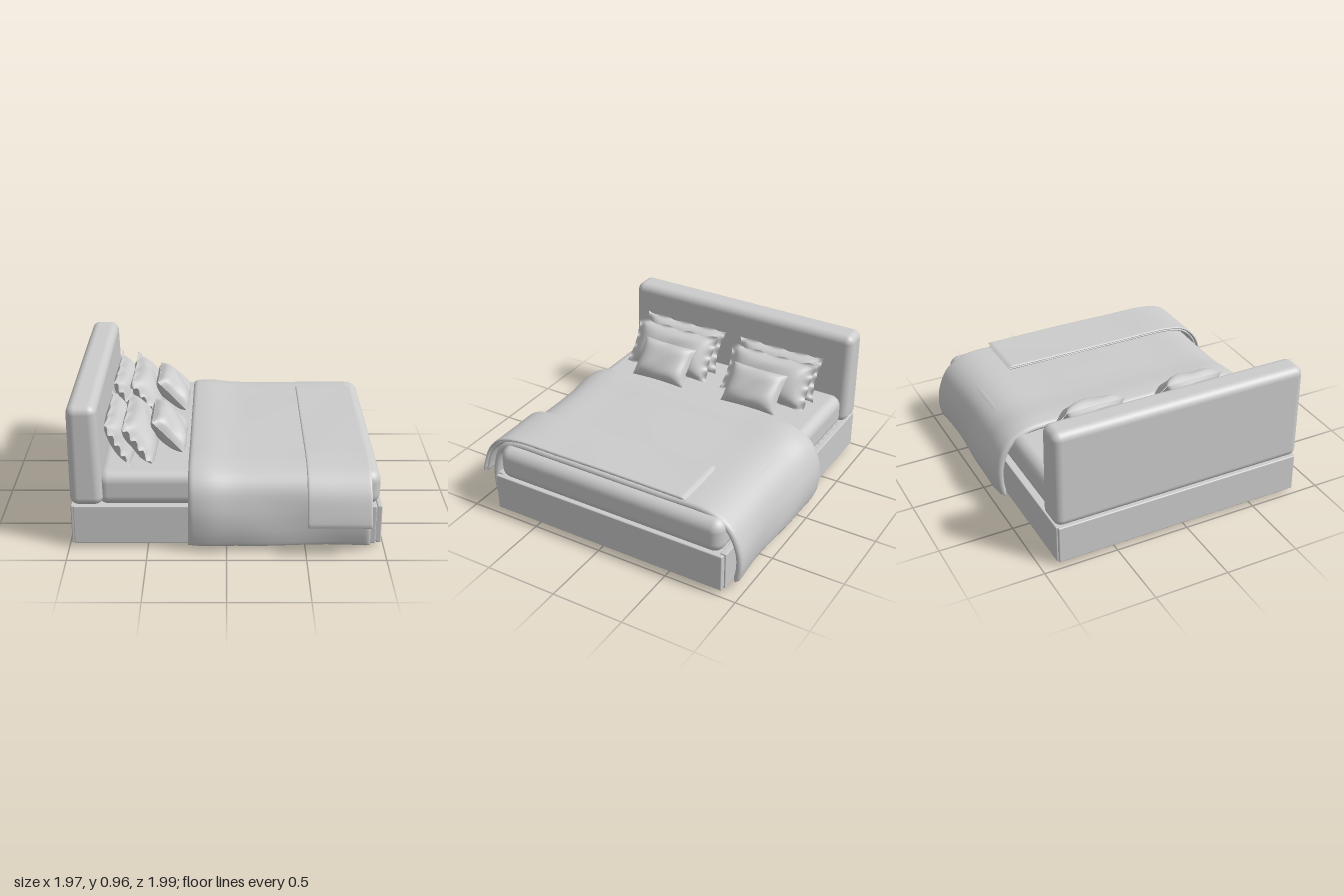
import * as THREE from 'three';
import { RoundedBoxGeometry } from 'three/addons/geometries/RoundedBoxGeometry.js';
import { mergeGeometries } from 'three/addons/utils/BufferGeometryUtils.js';

const mat = new THREE.MeshStandardMaterial({ color: 0xcccccc });
const MID_Z = -0.035; // the bed frame sits slightly behind centre

function add(parent, name, geometry, x = 0, y = 0, z = 0) {
  const mesh = new THREE.Mesh(geometry, mat);
  mesh.name = name;
  mesh.position.set(x, y, z);
  parent.add(mesh);
  return mesh;
}

// Rounded box given by its min and max corners
function block(parent, name, [x0, y0, z0], [x1, y1, z1], r) {
  const geo = new RoundedBoxGeometry(x1 - x0, y1 - y0, z1 - z0, 5, r);
  return add(parent, name, geo, (x0 + x1) / 2, (y0 + y1) / 2, (z0 + z1) / 2);
}

// Soft edge: 0 at a border, 1 once d passes e
const soft = (d, e) => Math.sqrt(Math.max(0, 1 - (1 - Math.min(1, d / e)) ** 2));

// Thick cloth: a [z, y] path from left to right, swept along x with rounded hems
function cloth(path, x0, x1, thick, nx, ns, lift, shiftX = () => 0) {
  const curve = new THREE.CatmullRomCurve3(path.map(([z, y]) => new THREE.Vector3(0, y, z)), false, 'centripetal');
  const samples = [];
  for (let j = 0; j <= ns; j++) {
    const s = (1 - Math.cos(Math.PI * j / ns)) / 2 * 0.5 + 0.5 * j / ns;
    samples.push({ s, p: curve.getPointAt(s), t: curve.getTangentAt(s) });
  }
  const length = curve.getLength();
  const pos = [], index = [], ring = 2 * (ns + 1);
  for (let i = 0; i <= nx; i++) {
    const u = (1 - Math.cos(Math.PI * i / nx)) / 2;
    const x = x0 + (x1 - x0) * u;
    const edgeU = soft(Math.min(x - x0, x1 - x), thick * 0.6);
    for (let k = 0; k < ring; k++) {
      const top = k <= ns;
      const { s, p, t } = samples[top ? k : ring - 1 - k];
      const edgeS = soft(Math.min(s, 1 - s) * length, thick * 0.6);
      const off = lift(x, s, p) + (top ? 0.5 : -0.5) * thick * edgeU * edgeS;
      pos.push(x + shiftX(u, p), p.y - t.z * off, p.z + t.y * off);
    }
  }
  for (let i = 0; i < nx; i++) {
    for (let j = 0; j < ring; j++) {
      const k = (j + 1) % ring;
      const a = i * ring + j, b = i * ring + k, c = a + ring, d = b + ring;
      index.push(a, c, b, b, c, d);
    }
  }
  const geo = new THREE.BufferGeometry();
  geo.setAttribute('position', new THREE.Float32BufferAttribute(pos, 3));
  geo.setIndex(index);
  geo.computeVertexNormals();
  return geo;
}

// Stuffed pillow facing +x and leaning back; inner < 1 leaves a ruffled flange
function pillow(w, h, t, inner, pinch, lean, seed) {
  const halves = [1, -1].map((side) => {
    const geo = new THREE.PlaneGeometry(2, 2, 32, 32);
    if (side < 0) geo.rotateY(Math.PI);
    const p = geo.attributes.position;
    for (let i = 0; i < p.count; i++) {
      const u = p.getX(i), v = p.getY(i);
      const a = Math.min(1, Math.abs(u) / inner), b = Math.min(1, Math.abs(v) / inner);
      const puff = ((1 - a ** 4) * (1 - b ** 4)) ** 0.6;
      const rim = inner < 1 ? Math.max(0, (Math.max(Math.abs(u), Math.abs(v)) - inner) / (1 - inner)) : 0;
      const ruffle = rim * 0.012 * Math.sin(11 * u + 13 * v + seed);
      const crease = puff * 0.006 * Math.sin(5 * u - 4 * v + seed);
      p.setXYZ(i,
        w / 2 * u * (1 - pinch * (1 - v * v)) + ruffle * 0.6,
        h / 2 * v * (1 - pinch * (1 - u * u)) + ruffle * 0.6,
        side * (0.002 + t / 2 * puff) + crease + ruffle);
    }
    geo.computeVertexNormals();
    return geo;
  });
  return mergeGeometries(halves).rotateY(Math.PI / 2).rotateZ(lean);
}

export function createModel() {
  const bed = new THREE.Group();
  bed.name = 'bed';

  // Frame: recessed core, four panels and feet
  const frame = new THREE.Group();
  frame.name = 'frame';
  bed.add(frame);
  block(frame, 'frameCore', [-0.97, 0.042, -0.89], [0.96, 0.28, 0.82], 0.005);
  block(frame, 'leftRail', [-0.965, 0.03, 0.79], [0.945, 0.29, 0.83], 0.006);
  block(frame, 'rightRail', [-0.965, 0.03, -0.9], [0.945, 0.29, -0.86], 0.006);
  block(frame, 'headPanel', [-0.982, 0.03, -0.89], [-0.94, 0.29, 0.82], 0.008);
  block(frame, 'footPanel', [0.95, 0.03, -0.89], [0.982, 0.29, 0.82], 0.008);
  for (const x of [-0.89, 0.88]) {
    for (const z of [-0.76, 0.76]) {
      add(frame, 'foot', new THREE.CylinderGeometry(0.025, 0.025, 0.045, 20), x, 0.0225, MID_Z + z);
    }
  }

  // Headboard, its padded front leaning back a little at the top
  const headboard = block(bed, 'headboard', [-0.985, 0.29, -0.907], [-0.775, 0.96, 0.835], 0.055);
  const hp = headboard.geometry.attributes.position;
  for (let i = 0; i < hp.count; i++) {
    if (hp.getX(i) > 0) hp.setX(i, hp.getX(i) - 0.022 * (hp.getY(i) + 0.335) / 0.67);
  }

  block(bed, 'mattress', [-0.82, 0.27, -0.87], [0.972, 0.505, 0.8], 0.075);

  // Duvet, hanging down both sides
  const folds = (x, p) => 0.010 * Math.sin(7 * x + 5 * p.y) * THREE.MathUtils.smoothstep(0.5 - p.y, 0, 0.35);
  const duvetPath = [[0.862, 0.035], [0.88, 0.15], [0.875, 0.3], [0.835, 0.43], [0.74, 0.497], [0.4, 0.511],
    [-0.4, 0.511], [-0.76, 0.5], [-0.88, 0.43], [-0.94, 0.3], [-0.953, 0.17], [-0.94, 0.068]];
  const duvetLift = (x, s, p) => 0.016 * Math.exp(-(((x + 0.13) / 0.13) ** 2))
    + folds(x, p) + 0.002 * Math.sin(6 * x + 4 * p.z);
  add(bed, 'duvet', cloth(duvetPath, -0.24, 0.9, 0.046, 40, 90, duvetLift,
    (u, p) => (u - 0.3) * 0.02 * (0.5 - p.y)));

  // Folded throw across the foot, two layers falling over the left side
  const throwPath = [[0.978, 0.215], [0.957, 0.3], [0.91, 0.42], [0.825, 0.505], [0.7, 0.54], [0.3, 0.547], [-0.575, 0.547]];
  for (const [name, x0, x1, level] of [['throwLower', 0.51, 0.885, -0.007], ['throwUpper', 0.5, 0.9, 0.011]]) {
    add(bed, name, cloth(throwPath, x0, x1, 0.016, 24, 60,
      (x, s, p) => level + 0.5 * folds(x, p) + 0.0015 * Math.sin(9 * x + 5 * p.z),
      (u, p) => 0.012 * (0.5 - p.y)));
  }

  // Two matching stacks of pillows
  [[0.375, 0.335], [-0.4, -0.385]].forEach(([zPillow, zCushion], i) => {
    const stack = new THREE.Group();
    stack.name = i ? 'rightPillows' : 'leftPillows';
    bed.add(stack);
    add(stack, 'backPillow', pillow(0.66, 0.33, 0.14, 0.9, 0.07, 0.5, 1 + i), -0.685, 0.635, zPillow);
    add(stack, 'frontPillow', pillow(0.67, 0.34, 0.17, 0.9, 0.07, 0.6, 4 + i), -0.555, 0.635, zPillow);
    add(stack, 'cushion', pillow(0.41, 0.29, 0.15, 1, 0.05, 0.76, 2 + i), -0.375, 0.635, zCushion);
  });

  return bed;
}
